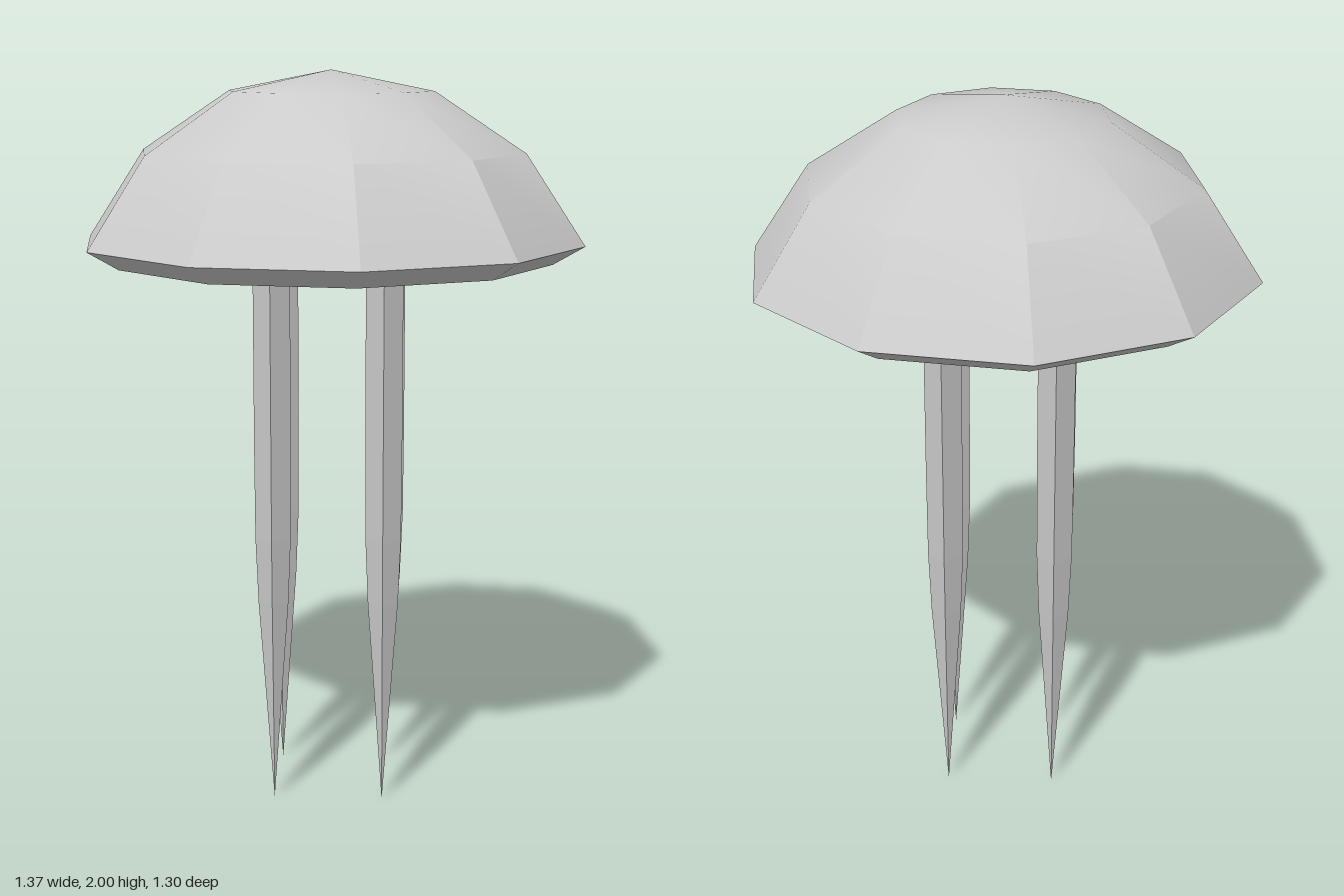
import * as THREE from 'three';
import { toCreasedNormals } from 'three/addons/utils/BufferGeometryUtils.js';

const material = new THREE.MeshStandardMaterial({ color: 0xcccccc });
const flatMaterial = new THREE.MeshStandardMaterial({ color: 0xcccccc, flatShading: true });

// Low-poly solid of revolution from [radius, height] pairs
function lathe(profile, sides, start) {
  const points = profile.map(([r, y]) => new THREE.Vector2(r, y));
  return new THREE.LatheGeometry(points, sides, start);
}

function addMesh(parent, name, geometry, mat) {
  const mesh = new THREE.Mesh(geometry, mat);
  mesh.name = name;
  parent.add(mesh);
  return mesh;
}

export function createModel() {
  const model = new THREE.Group();
  model.name = 'jellyfish';

  // Ten-sided bell: hollow underside, bevelled rim and faceted dome
  const bell = lathe([
    [0, 1.69], [0.6, 1.495], [0.685, 1.545], [0.525, 1.785], [0.28, 1.945], [0, 2],
  ], 10, Math.PI / 2);
  addMesh(model, 'bell', toCreasedNormals(bell, 0.5), material);

  // Four square tentacles, tapering to a point
  const halfWidths = [[0, 0], [0.029, 0.57], [0.034, 0.75], [0.035, 1], [0.035, 1.7], [0, 1.7]];
  const tentacle = lathe(halfWidths.map(([w, y]) => [w * Math.SQRT2, y]), 4, Math.PI / 4);
  const names = ['leftTentacle', 'frontTentacle', 'rightTentacle', 'backTentacle'];
  names.forEach((name, i) => {
    const angle = i * Math.PI / 2;
    const mesh = addMesh(model, name, tentacle, flatMaterial);
    mesh.position.set(0.212 * Math.cos(angle), 0, 0.212 * Math.sin(angle));
  });

  return model;
}
